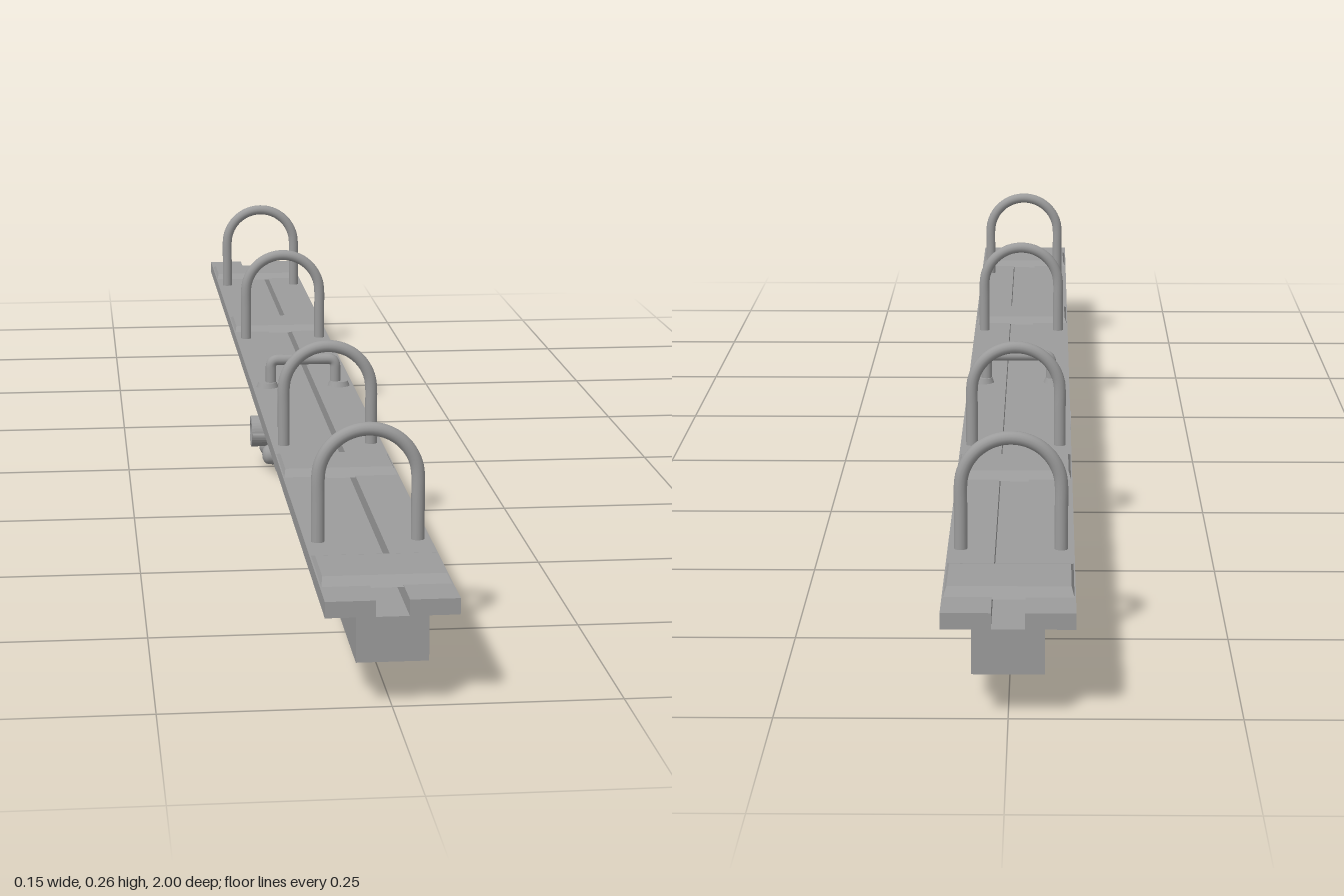
import * as THREE from 'three';

const material = new THREE.MeshStandardMaterial({ color: 0x9c9c9c, side: THREE.DoubleSide });

function add(parent, name, geometry, x = 0, y = 0, z = 0) {
  const mesh = new THREE.Mesh(geometry, material);
  mesh.name = name;
  mesh.position.set(x, y, z);
  parent.add(mesh);
  return mesh;
}

// Extrude a symmetrical outline, given as its right half of [x, y] points, along z
function prism(half, length) {
  const points = [...half, ...half.map(([x, y]) => [-x, y]).reverse()];
  const shape = new THREE.Shape(points.map(([x, y]) => new THREE.Vector2(x, y)));
  return new THREE.ExtrudeGeometry(shape, { depth: length, bevelEnabled: false }).translate(0, 0, -length / 2);
}

// Tall round-topped hoop
function hoopGeometry() {
  const r = 0.057, spring = 0.191;
  const points = [[-r, 0.116], [-r, 0.14], [-r, 0.165]];
  for (let i = 0; i <= 12; i++) {
    const a = Math.PI * (1 - i / 12);
    points.push([r * Math.cos(a), spring + r * Math.sin(a)]);
  }
  points.push([r, 0.165], [r, 0.14], [r, 0.116]);
  const path = new THREE.CatmullRomCurve3(points.map(([x, y]) => new THREE.Vector3(x, y, 0)));
  return new THREE.TubeGeometry(path, 64, 0.0078, 14);
}

// Low staple handle with rounded corners
function handleGeometry() {
  const v = (x, y) => new THREE.Vector3(x, y, 0);
  const w = 0.046, top = 0.157, c = 0.011;
  const path = new THREE.CurvePath();
  path.add(new THREE.LineCurve3(v(-w, 0.116), v(-w, top - c)));
  path.add(new THREE.QuadraticBezierCurve3(v(-w, top - c), v(-w, top), v(-w + c, top)));
  path.add(new THREE.LineCurve3(v(-w + c, top), v(w - c, top)));
  path.add(new THREE.QuadraticBezierCurve3(v(w - c, top), v(w, top), v(w, top - c)));
  path.add(new THREE.LineCurve3(v(w, top - c), v(w, 0.116)));
  return new THREE.TubeGeometry(path, 80, 0.0075, 14);
}

// Thin cover plate whose ends ramp gently down into the flanges
function coverGeometry() {
  const geometry = new THREE.BoxGeometry(0.142, 0.007, 0.124).toNonIndexed();
  const p = geometry.attributes.position;
  for (let i = 0; i < p.count; i++) {
    if (p.getY(i) > 0) {
      p.setX(i, p.getX(i) * 0.95);
      p.setZ(i, p.getZ(i) * 0.62);
    }
  }
  geometry.computeVertexNormals();
  return geometry;
}

// Blunt domed bolt head on a thin washer, axis along +x
function boltGeometry() {
  const profile = [[0.015, 0], [0.015, 0.005], [0.014, 0.005], [0.014, 0.010],
    [0.0125, 0.014], [0.009, 0.017], [0.005, 0.0185], [0, 0.019]];
  return new THREE.LatheGeometry(profile.map(([r, y]) => new THREE.Vector2(r, y)), 20)
    .rotateZ(-Math.PI / 2);
}

// Hollow pivot sleeve, axis along x
function sleeveGeometry() {
  const ring = new THREE.Shape().absarc(0, 0, 0.022, 0, Math.PI * 2);
  ring.holes.push(new THREE.Path().absarc(0, 0, 0.015, 0, Math.PI * 2, true));
  return new THREE.ExtrudeGeometry(ring, { depth: 0.033, bevelEnabled: false, curveSegments: 16 })
    .rotateY(Math.PI / 2);
}

export function createModel() {
  const model = new THREE.Group();
  model.name = 'slottedRail';

  // Long beam with a pair of top flanges and a groove between them
  add(model, 'beam', prism([[0.039, 0.05], [0.039, 0.1], [0.072, 0.1], [0.072, 0.118],
    [0.018, 0.118], [0.018, 0.1]], 2));

  // Cover plates and hoops, repeated towards both ends
  const cover = coverGeometry(), hoop = hoopGeometry();
  for (const side of [-1, 1]) {
    for (const z of [0.44, 0.89]) add(model, 'coverPlate', cover, 0, 0.1203, side * z);
    for (const z of [0.335, 0.777]) add(model, 'hoop', hoop, 0, 0, side * z);
  }

  // Centre handle and its feet
  const handle = new THREE.Group();
  handle.name = 'centreHandle';
  model.add(handle);
  add(handle, 'grip', handleGeometry());
  const foot = new THREE.CylinderGeometry(0.013, 0.016, 0.008, 20);
  for (const side of [-1, 1]) add(handle, 'handleFoot', foot, side * 0.051, 0.121, 0);

  // Clamp block under the middle, with bolted side plates
  const clamp = new THREE.Group();
  clamp.name = 'clamp';
  model.add(clamp);
  add(clamp, 'clampBlock', prism([[0.036, 0], [0.039, 0.004], [0.039, 0.052]], 0.136));
  const plate = new THREE.BoxGeometry(0.005, 0.095, 0.09);
  const bolt = boltGeometry(), sleeve = sleeveGeometry();
  const fin = new THREE.BoxGeometry(0.03, 0.003, 0.012);
  for (const side of [0, 1]) {
    const half = new THREE.Group();
    half.name = side ? 'rightFittings' : 'leftFittings';
    half.rotation.y = side * Math.PI;
    clamp.add(half);
    add(half, 'sidePlate', plate, 0.0405, 0.0525, 0);
    for (const y of [0.025, 0.08]) {
      for (const z of [-0.027, 0.027]) add(half, 'boltHead', bolt, 0.042, y, z);
    }
    add(half, 'pivotSleeve', sleeve, 0.042, 0.053, 0);
    for (const z of [-0.027, 0.027]) add(half, 'sleeveFin', fin, 0.059, 0.053, z);
  }

  return model;
}
